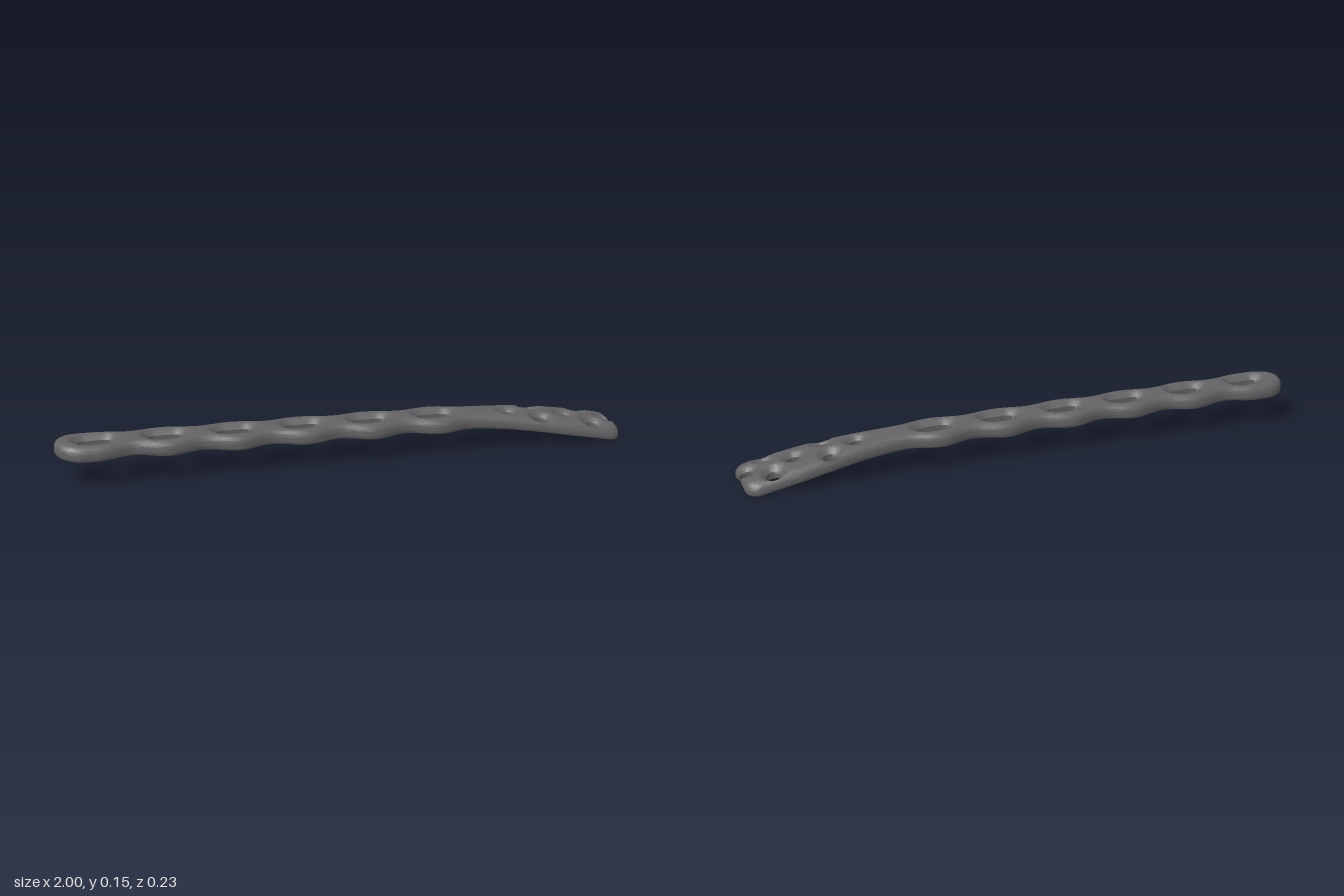
import * as THREE from 'three';
import { toCreasedNormals } from 'three/addons/utils/BufferGeometryUtils.js';

// Openings: centre, half length of the straight part, radius, countersink width and depth
const slots = [0, 1, 2, 3, 4, 5].map((i) => ({ x: -0.865 + i * 0.238, z: 0, half: 0.03, r: 0.035, rim: 0.026, depth: 0.022 }));
const round = (x, z) => ({ x, z, half: 0, r: 0.027, rim: 0.024, depth: 0.019 });
const notch = { ...round(0.975, 0), open: true };
const holes = [...slots, round(0.6, 0), round(0.705, 0.056), round(0.815, 0), round(0.9, 0.064), notch];

const CORNER = 0.05, CAP = 0.0905, CAP_X = -1 + CAP;

// Half width before the ends are rounded: scalloped shaft, flaring head
function baseWidth(x) {
  if (x < -0.865) return CAP;
  if (x < 0.444) return 0.078 + 0.0125 * Math.cos((2 * Math.PI * (x + 0.865)) / 0.238);
  return 0.0655 + 0.045 * THREE.MathUtils.smoothstep(x, 0.45, 0.85) + 0.004 * THREE.MathUtils.smoothstep(x, 0.75, 1);
}

// Half width including the round left end and the rounded right corners
function outline(x) {
  if (x < CAP_X) return Math.sqrt(Math.max(0, CAP ** 2 - (x - CAP_X) ** 2));
  const q = Math.max(0, x - (1 - CORNER));
  return baseWidth(x) - CORNER + Math.sqrt(Math.max(0, CORNER ** 2 - q * q));
}

// Distance inward from the outer edge
function edgeDistance(x, z) {
  if (x < CAP_X) return Math.max(0, CAP - Math.hypot(x - CAP_X, z));
  const qx = x - (1 - CORNER), qz = z - (baseWidth(x) - CORNER);
  const d = qx > 0 ? CORNER - Math.hypot(qx, Math.max(qz, 0)) : baseWidth(x) - z;
  return Math.max(0, d);
}

const fillet = (d, r) => (d < r ? r - Math.sqrt(Math.max(0, r * r - (r - d) ** 2)) : 0);
const spine = (x) => 0.145 - 0.013 * x - 0.147 * Math.max(0, x - 0.3) ** 2;
const head = (x) => THREE.MathUtils.smoothstep(x, 0.45, 0.95);
const arch = (x, z) => (1 + 0.5 * head(x)) * z * z;

function topY(x, z) {
  let drop = fillet(edgeDistance(x, z), 0.025);
  for (const h of holes) {
    const d = Math.hypot(Math.max(Math.abs(x - h.x) - h.half, 0), z - h.z) - h.r;
    if (d < h.rim) drop = Math.max(drop, h.depth * Math.min(1, 1 - d / h.rim) ** 1.3);
  }
  return spine(x) - arch(x, z) - drop;
}
const bottomY = (x, z) => spine(x) - 0.05 + 0.008 * head(x) - arch(x, z) + fillet(edgeDistance(x, z), 0.011);

// Half opening of a hole at x
function opening(h, x) {
  const dx = Math.max(Math.abs(x - h.x) - h.half, 0);
  const c = Math.sqrt(Math.max(0, h.r * h.r - dx * dx));
  return h.open && x > h.x ? Math.max(c, 0.016) : c;
}

export function createModel() {
  const group = new THREE.Group();
  group.name = 'bonePlate';
  const metal = new THREE.MeshStandardMaterial({ color: 0x626264 });
  metal.name = 'dark grey metal';

  const positions = [];
  const ease = (t) => 0.5 - 0.5 * Math.cos(Math.PI * t);
  function grid(fn, nu, nv, flip) {
    for (let i = 0; i < nu; i++) for (let j = 0; j < nv; j++) {
      const a = fn(i / nu, j / nv), b = fn((i + 1) / nu, j / nv);
      const c = fn((i + 1) / nu, (j + 1) / nv), d = fn(i / nu, (j + 1) / nv);
      for (const p of flip ? [a, c, b, a, d, c] : [a, b, c, a, c, d]) positions.push(...p);
    }
  }

  // One strip of plate between two edge curves, with top, underside and walls
  function strip(x0, x1, low, high, innerWall, outerWall) {
    const nu = 16, nv = 18;
    const X = (u) => x0 + (x1 - x0) * ease(u);
    const Z = (x, v) => low(x) + (high(x) - low(x)) * ease(v);
    for (const s of [1, -1]) {
      const surface = (height) => (u, v) => {
        const x = X(u), z = Z(x, v);
        return [x, height(x, z), s * z];
      };
      const wall = (edge) => (u, v) => {
        const x = X(u), z = edge(x);
        return [x, THREE.MathUtils.lerp(bottomY(x, z), topY(x, z), v), s * z];
      };
      grid(surface(topY), nu, nv, s > 0);
      grid(surface(bottomY), nu, nv, s < 0);
      if (outerWall) grid(wall(high), nu, 2, s < 0);
      if (innerWall) grid(wall(low), nu, 2, s > 0);
      // Flat end face on either side of the notch
      if (x1 === 1) grid((u, v) => {
        const z = Z(1, v);
        return [1, THREE.MathUtils.lerp(bottomY(1, z), topY(1, z), u), s * z];
      }, 2, nv, s < 0);
    }
  }

  // Walk along the plate: solid stretch, then opening, and so on
  const zero = () => 0;
  let x = -1;
  for (const h of holes) {
    const start = h.x - h.half - h.r;
    const end = h.open ? 1 : h.x + h.half + h.r;
    strip(x, start, zero, outline, false, true);
    strip(start, end, (t) => h.z + opening(h, t), outline, true, true);
    if (h.z > 0) strip(start, end, zero, (t) => h.z - opening(h, t), false, true);
    x = end;
  }

  let geometry = new THREE.BufferGeometry();
  geometry.setAttribute('position', new THREE.Float32BufferAttribute(positions, 3));
  geometry = toCreasedNormals(geometry, 0.7);
  geometry.computeBoundingBox();
  geometry.translate(0, -geometry.boundingBox.min.y, 0);

  const plate = new THREE.Mesh(geometry, metal);
  plate.name = 'plate';
  group.add(plate);
  return group;
}
